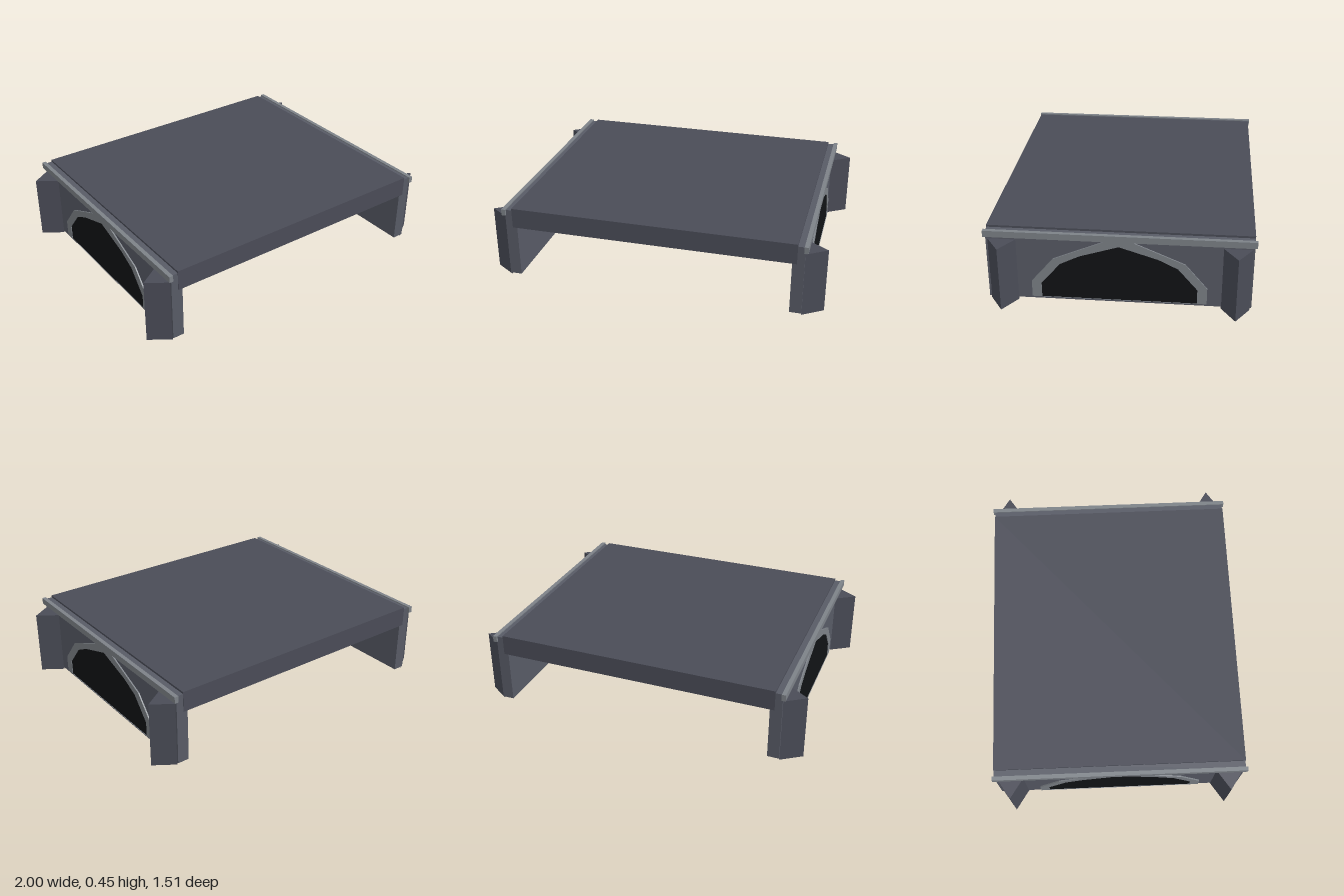
import * as THREE from 'three';

const material = (color) => new THREE.MeshStandardMaterial({ color, flatShading: true });

function addMesh(parent, name, geometry, mat) {
  const mesh = new THREE.Mesh(geometry, mat);
  mesh.name = name;
  parent.add(mesh);
  return mesh;
}

function addBox(parent, name, mat, [x0, x1], [y0, y1], [z0, z1]) {
  const mesh = addMesh(parent, name, new THREE.BoxGeometry(x1 - x0, y1 - y0, z1 - z0), mat);
  mesh.position.set((x0 + x1) / 2, (y0 + y1) / 2, (z0 + z1) / 2);
  return mesh;
}

// Closed symmetric outline from the points of one half, base to apex
function archPoints(half) {
  const mirrored = half.slice(0, -1).reverse().map(([x, y]) => [-x, y]);
  return [...half, ...mirrored].map(([x, y]) => new THREE.Vector2(x, y));
}

export function createModel() {
  const group = new THREE.Group();
  group.name = 'bridge';
  const deckMat = material(0x4a4c57);
  const wallMat = material(0x585b66);
  const trimMat = material(0x7d8288);
  const darkMat = material(0x111315);

  // Road deck
  addBox(group, 'deck', deckMat, [-0.84, 0.84], [0.33, 0.452], [-0.747, 0.747]);

  const inner = archPoints([[0.44, 0.03], [0.44, 0.12], [0.33, 0.25], [0.22, 0.305], [0, 0.375]]);
  const outer = archPoints([[0.495, 0.03], [0.495, 0.13], [0.37, 0.28], [0.07, 0.408], [0, 0.415]]);
  const ringShape = new THREE.Shape(outer);
  ringShape.holes.push(new THREE.Path(inner));

  // Triangular buttress footprint
  const buttressShape = new THREE.Shape([
    new THREE.Vector2(0.88, -0.08), new THREE.Vector2(1, 0), new THREE.Vector2(0.88, 0.08),
  ]);

  // Each side is built facing +x and turned round for the other
  for (const [name, angle] of [['left', 0], ['right', Math.PI]]) {
    const side = new THREE.Group();
    side.name = name + 'Side';
    side.rotation.y = angle;
    group.add(side);

    addBox(side, 'wall', wallMat, [0.813, 0.882], [0.015, 0.44], [-0.745, 0.745]);
    addBox(side, 'railTrim', trimMat, [0.876, 0.9], [0.408, 0.446], [-0.757, 0.757]);

    // Arch ring and the dark opening inside it
    const ring = addMesh(side, 'archRing',
      new THREE.ExtrudeGeometry(ringShape, { depth: 0.012, bevelEnabled: false }), trimMat);
    const opening = addMesh(side, 'archOpening',
      new THREE.ExtrudeGeometry(new THREE.Shape(inner), { depth: 0.008, bevelEnabled: false }), darkMat);
    for (const part of [ring, opening]) {
      part.rotation.y = Math.PI / 2;
      part.position.x = 0.878;
    }

    // Buttresses at both ends
    for (const z of [-0.655, 0.655]) {
      const buttress = addMesh(side, 'buttress',
        new THREE.ExtrudeGeometry(buttressShape, { depth: 0.39, bevelEnabled: false }), deckMat);
      buttress.rotation.x = -Math.PI / 2;
      buttress.position.z = z;
    }
  }
  return group;
}
